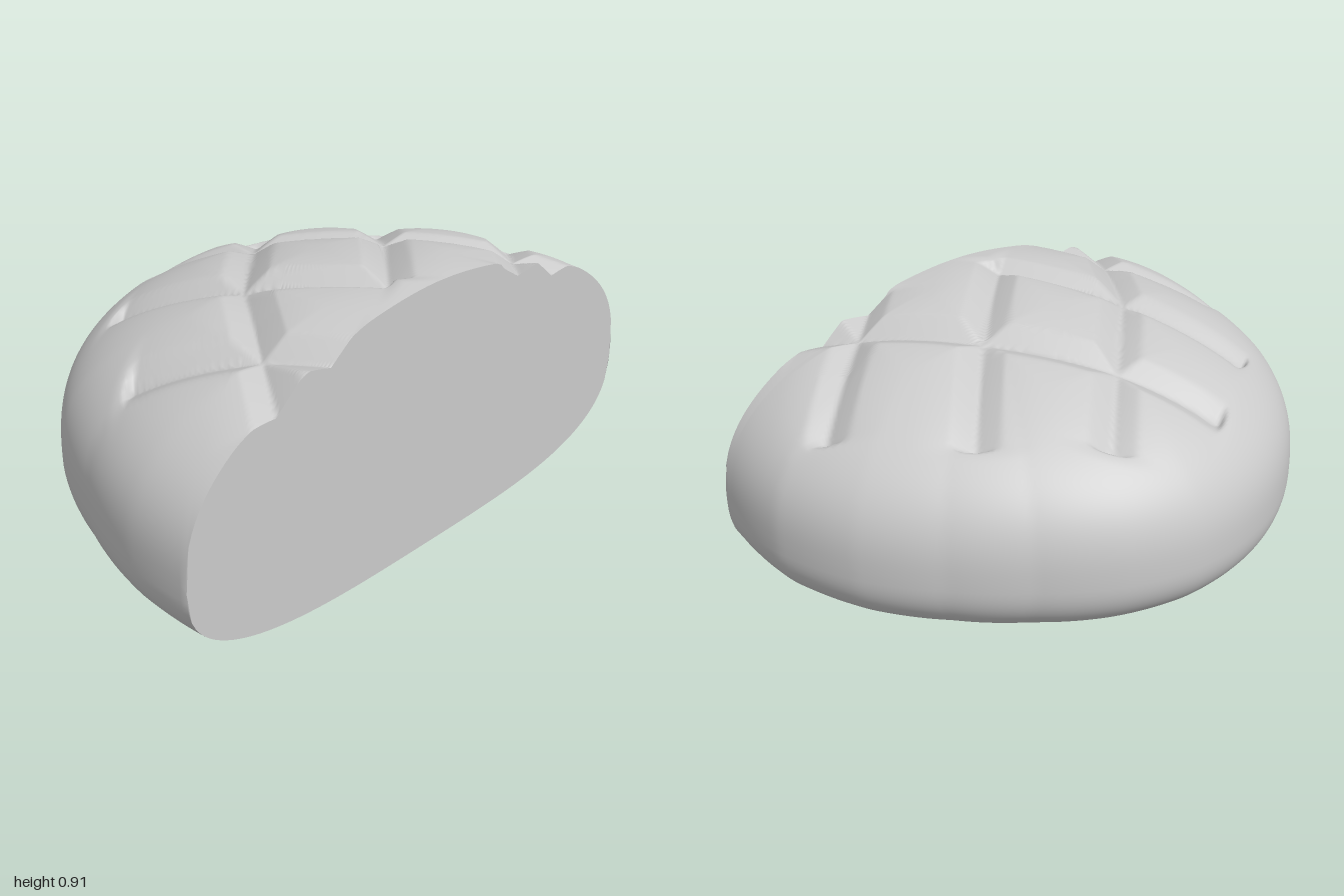
import * as THREE from 'three';
import { mergeVertices } from 'three/addons/utils/BufferGeometryUtils.js';

const CENTER_Z = 0.45, LENGTH = 1.15, EDGE_Y = 0.32;

// Slight unevenness of the outline every 15 degrees, from left round the back to right
const BULGE = [1, 1.022, 1.006, 0.972, 0.964, 0.985, 1, 1, 1, 1.002, 1.003, 0.988, 1];

// Score marks in plan, as polylines of [x, z]
const SCORES = [
  [[-0.24, -0.49], [-0.04, -0.23], [0.24, 0.1], [0.51, 0.42], [0.62, 0.56]],
  [[-0.55, -0.26], [-0.33, 0.1], [-0.07, 0.46]],
  [[-0.78, 0.16], [-0.54, 0.46], [-0.42, 0.66]],
  [[0.17, -0.47], [-0.04, -0.23], [-0.33, 0.1], [-0.54, 0.46], [-0.67, 0.7]],
  [[0.5, -0.24], [0.24, 0.1], [-0.07, 0.46]],
  [[0.81, 0.11], [0.51, 0.42], [0.37, 0.58]],
];

// Distance to the nearest score mark, with blunt ends
function scoreDistance(x, z) {
  let best = 9;
  for (const line of SCORES) {
    for (let i = 0; i < line.length - 1; i++) {
      const [ax, az] = line[i], [bx, bz] = line[i + 1];
      const len = Math.hypot(bx - ax, bz - az);
      const dx = (bx - ax) / len, dz = (bz - az) / len;
      const along = (x - ax) * dx + (z - az) * dz;
      const across = (x - ax) * dz - (z - az) * dx;
      const past = Math.max(-along, along - len, 0);
      best = Math.min(best, Math.hypot(across, past * 3.5));
    }
  }
  return best;
}

// Outline scale in a direction; angle 0 is the left side, PI / 2 the back
function outlineScale(angle) {
  if (angle <= 0 || angle >= Math.PI) return 1;
  const f = angle / Math.PI * 12, i = Math.min(11, Math.floor(f));
  return THREE.MathUtils.lerp(BULGE[i], BULGE[i + 1], f - i);
}

// 0 in the middle of the loaf, 1 at its widest outline
function planRadius(x, z) {
  const v = (CENTER_Z - z) / LENGTH;
  return Math.min(1, Math.hypot(x, v) / outlineScale(Math.atan2(v, x)));
}

// Domed top with V cuts and softly swollen crust between them
function topY(x, z) {
  const u = planRadius(x, z);
  const d = scoreDistance(x, z);
  const cut = 0.032 * Math.max(0, 1 - d / 0.075);
  const swell = 0.02 * Math.max(0, 1 - d / 0.2) ** 2;
  const fade = Math.min(1, (1 - u) / 0.16);
  return EDGE_Y + 0.593 * (1 - u ** 1.6) ** 0.38 - (cut + swell) * fade;
}

// Nearly flat underside that curls up at the rim
const bottomY = (x, z) => EDGE_Y * (1 - (1 - planRadius(x, z) ** 3.4) ** 0.38);

// Plan outline: rounded back, then the slanted straight cut
const ARC = 160, CUT = 150;
function outline() {
  const rim = [];
  const a0 = -0.0244, a1 = Math.PI + 0.21;
  for (let i = 0; i <= ARC; i++) {
    const a = a0 + (a1 - a0) * i / ARC, s = outlineScale(a);
    rim.push([s * Math.cos(a), CENTER_Z - LENGTH * s * Math.sin(a)]);
  }
  const [lx, lz] = rim[ARC], [rx, rz] = rim[0];
  for (let i = 1; i <= CUT; i++) {
    const t = i / CUT;
    rim.push([lx + (rx - lx) * t, lz + (rz - lz) * t]);
  }
  return rim;
}

function makeGeometry(positions, indices) {
  let g = new THREE.BufferGeometry();
  g.setAttribute('position', new THREE.Float32BufferAttribute(positions, 3));
  g.setIndex(indices);
  g = mergeVertices(g, 1e-5);
  g.computeVertexNormals();
  return g;
}

// Rings from the middle out to the rim, packed closer towards the rim
function addSheet(positions, indices, rim, rows, heightAt, up) {
  const base = positions.length / 3, n = rim.length;
  for (let i = 0; i <= rows; i++) {
    const r = 1 - (1 - i / rows) ** 2.2;
    for (const [x, z] of rim) positions.push(x * r, heightAt(x * r, z * r), z * r);
  }
  for (let i = 0; i < rows; i++) {
    for (let k = 0; k < n - 1; k++) {
      const a = base + i * n + k, b = a + n;
      const tris = i === 0 ? [[a, b, b + 1]] : [[a, b, b + 1], [a, b + 1, a + 1]];
      for (const [p, q, s] of tris) up ? indices.push(p, q, s) : indices.push(p, s, q);
    }
  }
}

export function createModel() {
  const group = new THREE.Group();
  group.name = 'halfLoaf';
  const material = new THREE.MeshStandardMaterial({ color: 0xcccccc });
  const rim = outline();

  // Crust: scored top and underside, joined smoothly round the rim
  const positions = [], indices = [];
  addSheet(positions, indices, rim, 100, topY, true);
  addSheet(positions, indices, rim, 32, bottomY, false);
  const crust = new THREE.Mesh(makeGeometry(positions, indices), material);
  crust.name = 'crust';
  group.add(crust);

  // Flat cut face closing the front
  const facePos = [], faceIdx = [];
  rim.slice(ARC).forEach(([x, z], k) => {
    facePos.push(x, bottomY(x, z), z, x, topY(x, z), z);
    if (k < CUT) {
      const b = k * 2;
      faceIdx.push(b, b + 2, b + 3, b, b + 3, b + 1);
    }
  });
  const cutFace = new THREE.Mesh(makeGeometry(facePos, faceIdx), material);
  cutFace.name = 'cutFace';
  group.add(cutFace);

  return group;
}
